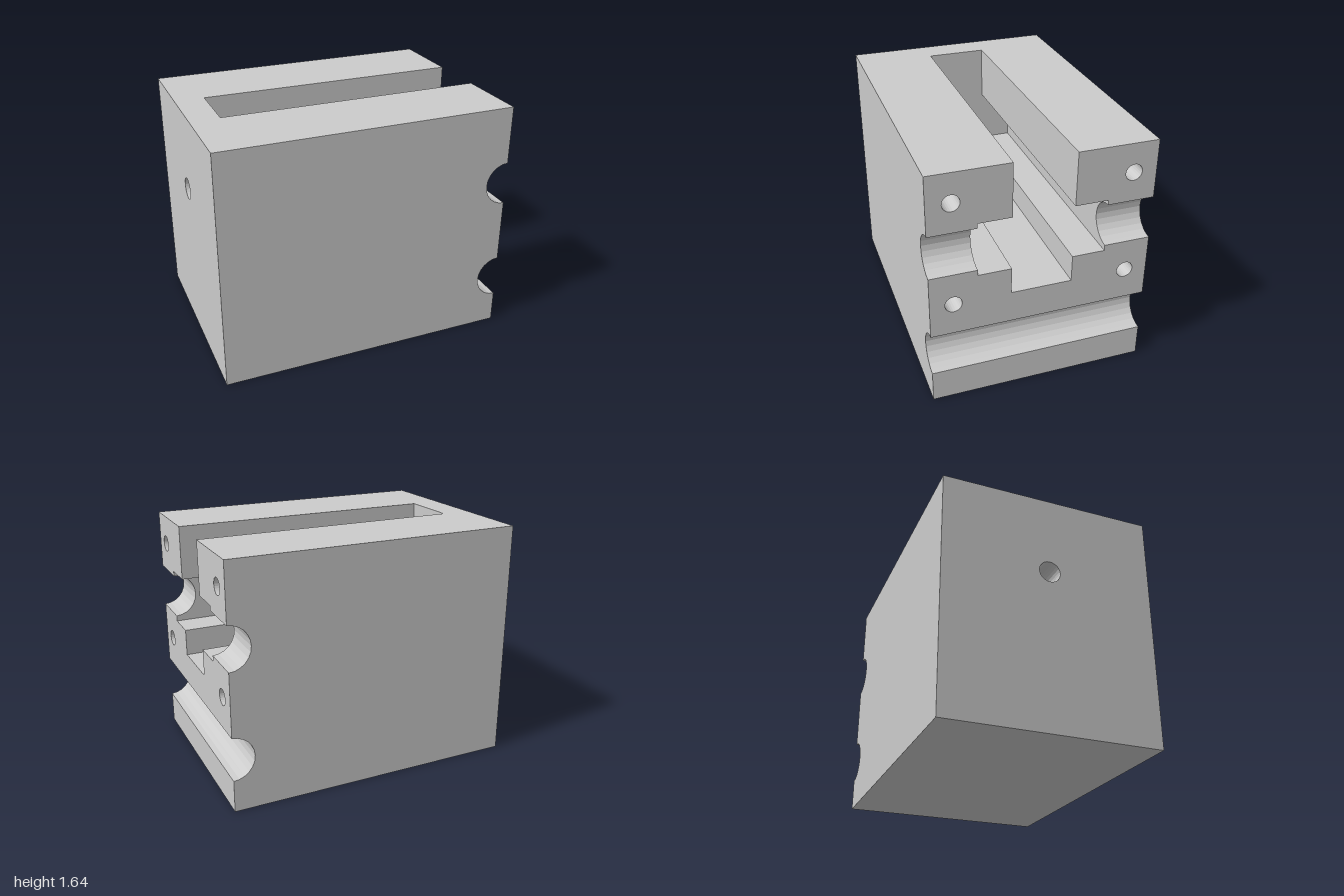
import * as THREE from 'three';

const H = 1.637, W = 0.725;                 // block height, half depth
const BACK = -0.8;                          // cavity end wall
const NECK = 0.2, ARM = 0.417;              // half widths of the cross-shaped cavity
const FLOOR = 0.73, ARM_LOW = 0.91, ARM_TOP = 1.275;
const R = 0.147, GROOVES = [0.365, 1.095];  // half-round grooves
const BOLT_Z = 0.573, BOLTS = [0.73, 1.44], BOLT_R = 0.055, BOLT_DEPTH = 0.4;
const BORE_Y = 1.095, BORE_R = 0.073;
const SIDES = 24;

export function createModel() {
  const group = new THREE.Group();
  const material = new THREE.MeshStandardMaterial({ color: 0xcccccc, flatShading: true });

  const add = (name, geometry) => {
    const mesh = new THREE.Mesh(geometry, material);
    mesh.name = name;
    group.add(mesh);
    return mesh;
  };
  const toPoints = (list) => list.map(([u, v]) => new THREE.Vector2(u, v));
  const rect = (u0, v0, u1, v1) => [[u0, v0], [u1, v0], [u1, v1], [u0, v1]];
  const circle = (cu, cv, r) => Array.from({ length: SIDES }, (_, i) => {
    const t = (i / SIDES) * Math.PI * 2;
    return [cu - r * Math.sin(t), cv + r * Math.cos(t)];
  });
  // half circle cut into the x = 1 edge, from top to bottom
  const groove = (y) => Array.from({ length: SIDES / 2 + 1 }, (_, i) => {
    const t = (i / (SIDES / 2)) * Math.PI;
    return [1 - R * Math.sin(t), y + R * Math.cos(t)];
  });

  // flat face with holes, turned to look along an axis
  const turn = {
    '+x': [0, Math.PI / 2], '-x': [0, -Math.PI / 2],
    '+y': [-Math.PI / 2, 0], '-y': [Math.PI / 2, 0],
    '+z': [0, 0], '-z': [Math.PI, 0],
  };
  const face = (name, facing, offset, outline, holes = []) => {
    // facing -z turns y over, so the outline is flipped first
    const pts = facing === '-z' ? outline.map(([u, v]) => [u, -v]) : outline;
    const shape = new THREE.Shape(toPoints(pts));
    shape.holes = holes.map((h) => new THREE.Path(toPoints(h)));
    const geo = new THREE.ShapeGeometry(shape);
    geo.rotateX(turn[facing][0]).rotateY(turn[facing][1]);
    const move = [0, 0, 0];
    move['xyz'.indexOf(facing[1])] = offset;
    return add(name, geo.translate(...move));
  };

  // wall made by sweeping a path of [x, y, z] points along a vector
  const sweep = (name, path, [vx, vy, vz]) => {
    const pos = [], index = [];
    path.forEach(([x, y, z], i) => {
      pos.push(x, y, z, x + vx, y + vy, z + vz);
      if (i) {
        const a = 2 * i - 2;
        index.push(a, a + 1, a + 3, a, a + 3, a + 2);
      }
    });
    const geo = new THREE.BufferGeometry();
    geo.setAttribute('position', new THREE.Float32BufferAttribute(pos, 3));
    geo.setIndex(index);
    const flat = geo.toNonIndexed();
    flat.computeVertexNormals();
    return add(name, flat);
  };
  const bore = (name, x, y, z, r, depth) => {
    const ring = circle(z, y, r);
    sweep(name, [...ring, ring[0]].map(([cz, cy]) => [x, cy, cz]), [-depth, 0, 0]);
  };

  // outer shell
  const profile = [[-1, 0], [-1, H], [1, H], ...groove(GROOVES[1]), ...groove(GROOVES[0]), [1, 0]];
  face('frontSide', '+z', W, profile);
  face('backSide', '-z', -W, profile);
  face('base', '-y', 0, rect(-1, -W, 1, W));
  face('top', '+y', H, [[-1, -W], [1, -W], [1, -NECK], [BACK, -NECK], [BACK, NECK], [1, NECK], [1, W], [-1, W]]);
  face('rearWall', '-x', -1, rect(-W, 0, W, H), [circle(0, BORE_Y, BORE_R)]);

  // right end, split by the grooves and the cavity mouth
  const [g0, g1] = GROOVES;
  face('endBottomStrip', '+x', 1, rect(-W, 0, W, g0 - R));
  face('endMiddlePlate', '+x', 1, [
    [-W, g0 + R], [W, g0 + R], [W, g1 - R], [ARM, g1 - R], [ARM, ARM_LOW], [NECK, ARM_LOW], [NECK, FLOOR],
    [-NECK, FLOOR], [-NECK, ARM_LOW], [-ARM, ARM_LOW], [-ARM, g1 - R], [-W, g1 - R],
  ], [-1, 1].map((s) => circle(s * BOLT_Z, BOLTS[0], BOLT_R)));
  for (const s of [-1, 1]) {
    const lug = [[NECK, H], [NECK, ARM_TOP], [ARM, ARM_TOP], [ARM, g1 + R], [W, g1 + R], [W, H]];
    face('endUpperLug', '+x', 1, lug.map(([u, v]) => [s * u, v]), [circle(s * BOLT_Z, BOLTS[1], BOLT_R)]);
  }

  // grooves: the lower runs right across, the upper is broken by the cavity
  const grooveWall = (name, y, z0, z1) =>
    sweep(name, groove(y).map(([x, gy]) => [x, gy, z0]), [0, 0, z1 - z0]);
  grooveWall('lowerGroove', g0, -W, W);
  grooveWall('upperGrooveFront', g1, ARM, W);
  grooveWall('upperGrooveBack', g1, -W, -ARM);

  // cross-shaped cavity
  const cavityWall = (name, path) => sweep(name, path.map(([z, y]) => [BACK, y, z]), [1 - BACK, 0, 0]);
  cavityWall('cavityNeckFront', [[NECK, H], [NECK, ARM_TOP], [ARM, ARM_TOP]]);
  cavityWall('cavityFloor', [[ARM, ARM_LOW], [NECK, ARM_LOW], [NECK, FLOOR],
    [-NECK, FLOOR], [-NECK, ARM_LOW], [-ARM, ARM_LOW]]);
  cavityWall('cavityNeckBack', [[-ARM, ARM_TOP], [-NECK, ARM_TOP], [-NECK, H]]);
  const armSide = [[BACK, ARM_LOW], [BACK, ARM_TOP], [1, ARM_TOP], ...groove(g1), [1, ARM_LOW]];
  face('cavityArmFront', '-z', ARM, armSide);
  face('cavityArmBack', '+z', -ARM, armSide);
  face('cavityEnd', '+x', BACK, [
    [-NECK, FLOOR], [NECK, FLOOR], [NECK, ARM_LOW], [ARM, ARM_LOW], [ARM, ARM_TOP], [NECK, ARM_TOP],
    [NECK, H], [-NECK, H], [-NECK, ARM_TOP], [-ARM, ARM_TOP], [-ARM, ARM_LOW], [-NECK, ARM_LOW],
  ], [circle(0, BORE_Y, BORE_R)]);

  // rear through bore and four blind bolt holes
  bore('rearBore', BACK, BORE_Y, 0, BORE_R, 1 + BACK);
  for (const s of [-1, 1]) {
    for (const y of BOLTS) {
      bore('boltHole', 1, y, s * BOLT_Z, BOLT_R, BOLT_DEPTH);
      face('boltHoleEnd', '+x', 1 - BOLT_DEPTH, circle(s * BOLT_Z, y, BOLT_R));
    }
  }
  return group;
}
